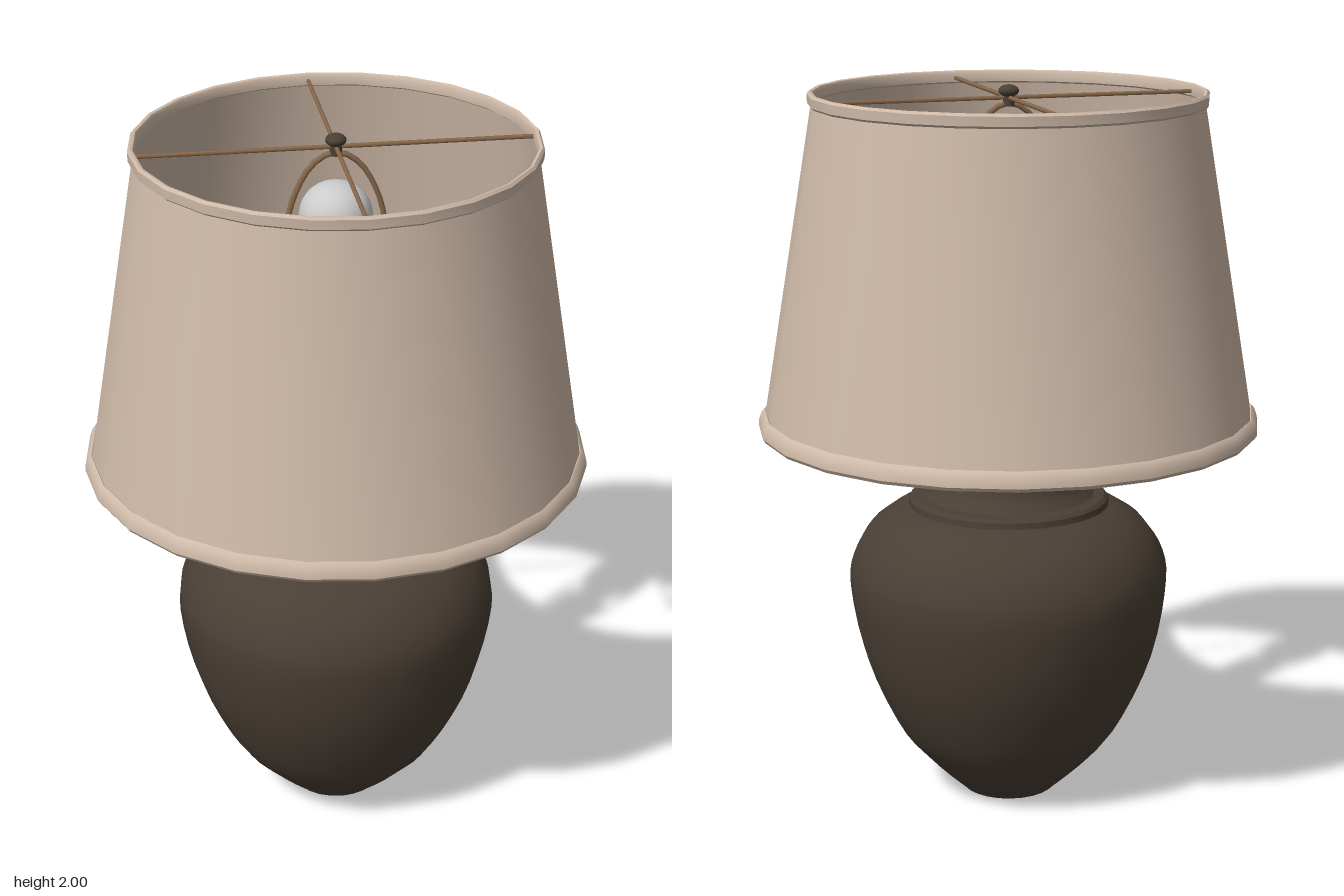
import * as THREE from 'three';
import { toCreasedNormals } from 'three/addons/utils/BufferGeometryUtils.js';

const SIDES = 24;
const material = (color, side = THREE.FrontSide) => new THREE.MeshStandardMaterial({ color, side });
const vec2 = (pairs) => pairs.map(([x, y]) => new THREE.Vector2(x, y));

export function createModel() {
  const group = new THREE.Group();
  const ceramic = material(0x4a3f35);
  const fabric = material(0xcfbaa8, THREE.DoubleSide);
  const bronze = material(0x8a6a4c);
  const glass = material(0xcccccc);

  const add = (name, geometry, mat, y = 0) => {
    const mesh = new THREE.Mesh(geometry, mat);
    mesh.name = name;
    mesh.position.y = y;
    group.add(mesh);
    return mesh;
  };
  // Turned part: profile of [radius, height], bottom to top
  const turned = (name, points, mat) =>
    add(name, toCreasedNormals(new THREE.LatheGeometry(points, SIDES), 0.65), mat);
  const smooth = (pairs, n) => new THREE.SplineCurve(vec2(pairs)).getPoints(n);

  // Urn body, ending at the raised collar
  turned('body', [
    new THREE.Vector2(0, 0),
    new THREE.Vector2(0.13, 0),
    ...smooth([[0.14, 0.01], [0.235, 0.1], [0.315, 0.2], [0.405, 0.4], [0.445, 0.6],
      [0.432, 0.7], [0.385, 0.775], [0.325, 0.82], [0.28, 0.84]], 26),
    ...vec2([[0.278, 0.857], [0.268, 0.866], [0.235, 0.868]]),
  ], ceramic);

  // Neck with a rounded shoulder
  turned('neck', smooth([[0.24, 0.866], [0.208, 0.9], [0.194, 0.95], [0.184, 1.03],
    [0.177, 1.08], [0.16, 1.115], [0.12, 1.13], [0.045, 1.135]], 24), ceramic);

  // Stem and bulb holder
  turned('socket', vec2([[0.06, 1.13], [0.045, 1.145], [0.045, 1.2], [0.06, 1.215],
    [0.085, 1.225], [0.09, 1.245], [0.09, 1.28], [0.075, 1.29], [0.075, 1.5],
    [0.06, 1.52], [0, 1.52]]), ceramic);

  // Light bulb: narrow stem swelling into a globe
  turned('bulb', smooth([[0.045, 1.51], [0.048, 1.58], [0.068, 1.66], [0.092, 1.72],
    [0.099, 1.77], [0.086, 1.82], [0.05, 1.855], [0, 1.868]], 24), glass);

  // Harp: wire loop around the bulb
  const half = [[0.08, 1.27], [0.125, 1.36], [0.14, 1.52], [0.138, 1.68], [0.115, 1.82], [0.06, 1.92]];
  const loop = [
    ...half.map(([x, y]) => new THREE.Vector3(x, y, 0)),
    new THREE.Vector3(0, 1.95, 0),
    ...half.map(([x, y]) => new THREE.Vector3(-x, y, 0)).reverse(),
  ];
  add('harp', new THREE.TubeGeometry(new THREE.CatmullRomCurve3(loop), 48, 0.008, 6), bronze);

  // Four spokes carrying the shade
  for (let i = 0; i < 4; i++) {
    const geometry = new THREE.CylinderGeometry(0.006, 0.006, 0.53, 6);
    geometry.rotateZ(Math.PI / 2).translate(0.265, 0, 0).rotateY(i * Math.PI / 2);
    add('shadeSpoke', geometry, bronze, 1.965);
  }

  // Finial and its seat
  add('finialSeat', new THREE.CylinderGeometry(0.016, 0.016, 0.04, 12), ceramic, 1.962);
  add('finial', new THREE.SphereGeometry(0.028, 16, 10).scale(1, 0.6, 1), ceramic, 1.983);

  // Shade wall, open at both ends
  turned('shade', vec2([[0.675, 1.08], [0.527, 1.965]]), fabric);

  // Rolled trim at the bottom and top rims
  turned('bottomTrim', vec2([[0.665, 1.075], [0.672, 1.062], [0.684, 1.06], [0.691, 1.07],
    [0.69, 1.083], [0.682, 1.105], [0.673, 1.112], [0.664, 1.105], [0.665, 1.075]]), fabric);
  turned('topTrim', vec2([[0.523, 1.953], [0.532, 1.947], [0.539, 1.953], [0.54, 1.978],
    [0.534, 1.985], [0.526, 1.983], [0.522, 1.975], [0.523, 1.953]]), fabric);

  return group;
}
